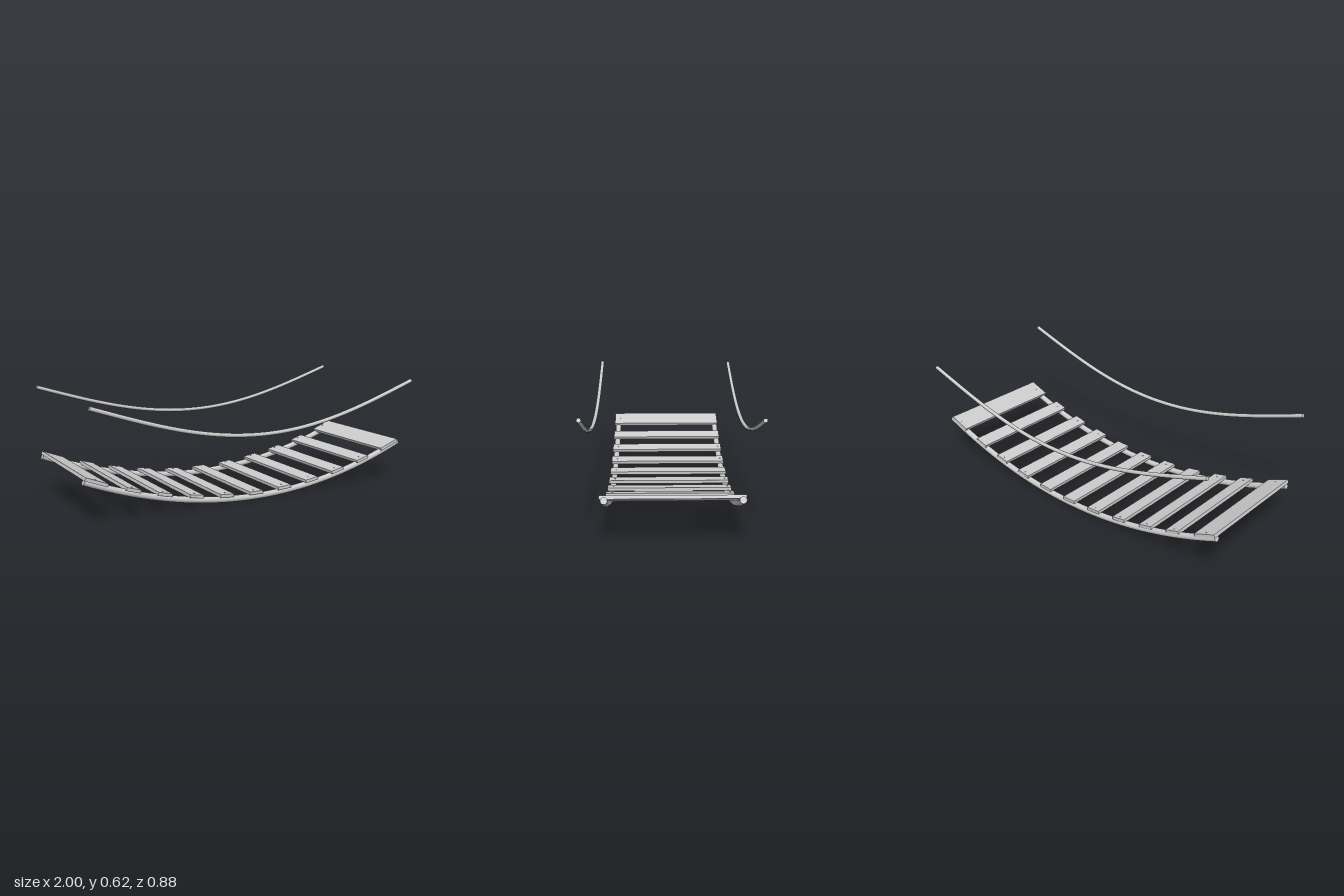
import * as THREE from 'three';

const material = new THREE.MeshStandardMaterial({ color: 0xcccccc });

// Sagging curve y = base + b x^2 + c x^4
const sag = (base, b, c = 0) => (x) => base + b * x * x + c * x ** 4;

// Round rope along a sagging curve in the plane z, closed at both ends
function makeRope(name, height, x0, x1, z, radius) {
  const group = new THREE.Group();
  group.name = name;
  const points = [];
  for (let i = 0; i <= 24; i++) {
    const x = THREE.MathUtils.lerp(x0, x1, i / 24);
    points.push(new THREE.Vector3(x, height(x), z));
  }
  const curve = new THREE.CatmullRomCurve3(points);
  const tube = new THREE.Mesh(new THREE.TubeGeometry(curve, 64, radius, 16), material);
  tube.name = name + 'Tube';
  group.add(tube);
  for (const t of [0, 1]) {
    const cap = new THREE.Mesh(new THREE.CircleGeometry(radius, 16), material);
    const outward = curve.getTangent(t).multiplyScalar(t ? 1 : -1);
    cap.name = name + 'End';
    cap.position.copy(curve.getPoint(t));
    cap.quaternion.setFromUnitVectors(new THREE.Vector3(0, 0, 1), outward);
    group.add(cap);
  }
  return group;
}

export function createModel() {
  const model = new THREE.Group();
  model.name = 'ropeBridge';

  // Load-bearing ropes under the deck
  const deck = sag(0.0175, 0.2084);
  model.add(makeRope('frontDeckRope', deck, -0.993, 0.993, 0.32, 0.0175));
  model.add(makeRope('backDeckRope', deck, -0.993, 0.993, -0.332, 0.0175));

  // Hand ropes, the back one a little shorter and tighter
  model.add(makeRope('frontHandRope', sag(0.386, 0.274, -0.052), -0.99, 0.99, 0.428, 0.011));
  model.add(makeRope('backHandRope', sag(0.393, 0.264, -0.052), -0.98, 0.981, -0.427, 0.0105));

  // Planks lie along the slope of the deck ropes; the end planks are wider
  const thickness = 0.018;
  const centers = [-0.932, -0.735, -0.56, -0.377, -0.193, -0.01, 0.175, 0.36, 0.54, 0.72, 0.917];
  centers.forEach((x, i) => {
    const isEnd = i === 0 || i === centers.length - 1;
    const width = isEnd ? 0.127 : 0.081;
    const angle = Math.atan(2 * 0.2084 * x);
    const lift = (0.0245 - 0.007 * x * x) / Math.cos(angle);

    const plank = new THREE.Group();
    plank.name = isEnd ? 'endPlank' : 'plank';
    plank.position.set(x, deck(x) + lift, -0.003);
    plank.rotation.z = angle;

    const board = new THREE.Mesh(new THREE.BoxGeometry(width, thickness, 0.694), material);
    board.name = 'board';
    plank.add(board);

    // One nail head over each rope
    for (const z of [0.313, -0.327]) {
      const nail = new THREE.Mesh(new THREE.CylinderGeometry(0.004, 0.004, 0.004, 10), material);
      nail.name = 'nailHead';
      nail.position.set(0, thickness / 2, z);
      plank.add(nail);
    }
    model.add(plank);
  });

  return model;
}
